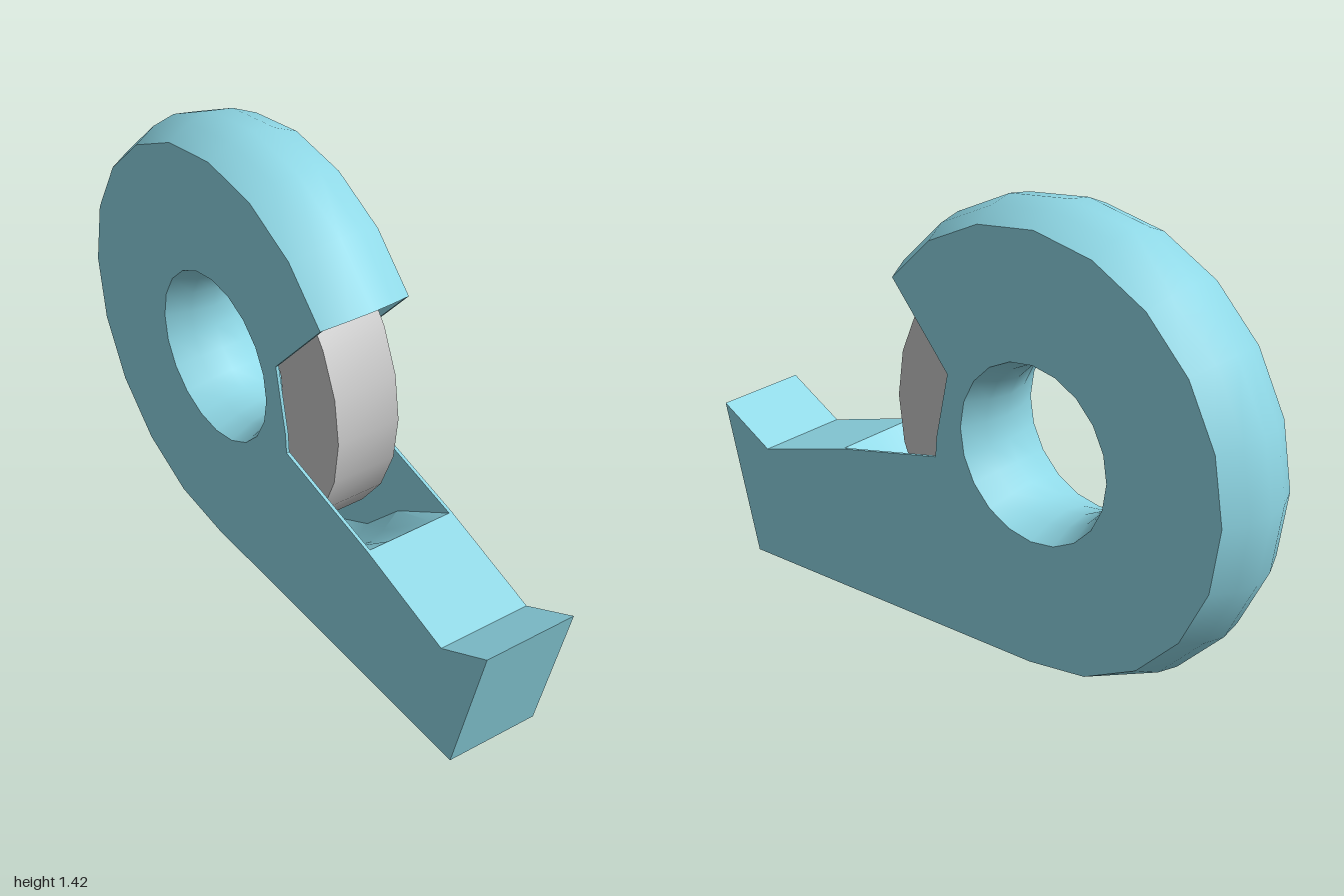
import * as THREE from 'three';
import { toCreasedNormals } from 'three/addons/utils/BufferGeometryUtils.js';

const CX = -0.29, CY = 0.71;   // axis of the tape roll
const EDGE = 0.66, HALF = 0.15, WALL = 0.01;
const STEP = Math.PI / 10;     // 20 sides around

const polar = (r, k) => [CX + r * Math.cos(k * STEP), CY + r * Math.sin(k * STEP)];

// Closed band: each station is a row of points across the width
function loopBand(stations) {
  const pos = stations.flat(2), idx = [];
  const n = stations.length, m = stations[0].length;
  for (let i = 0; i < n; i++) {
    for (let j = 0; j < m - 1; j++) {
      const a = i * m + j, b = ((i + 1) % n) * m + j;
      idx.push(a, b, a + 1, b, b + 1, a + 1);
    }
  }
  const geo = new THREE.BufferGeometry();
  geo.setAttribute('position', new THREE.Float32BufferAttribute(pos, 3));
  geo.setIndex(idx);
  return toCreasedNormals(geo, 0.5);
}

export function createModel() {
  const group = new THREE.Group();
  const plastic = new THREE.MeshStandardMaterial({ color: 0x8fd8e6, side: THREE.DoubleSide });
  const grey = new THREE.MeshStandardMaterial({ color: 0xcccccc });
  const add = (name, geo, mat) => {
    const mesh = new THREE.Mesh(geo, mat);
    mesh.name = name;
    group.add(mesh);
    return mesh;
  };

  // Nose with the raised cutter edge, shared by walls and band
  const nose = [[0.87, 0], [1, 0.475], [0.81, 0.375], [0.47, 0.485]];

  // Thin side walls with a round hole and a notch for the tape
  const outline = [];
  for (let k = 2; k <= 15; k++) outline.push(polar(EDGE, k));
  outline.push(...nose, [0.08, 0.585], [0.075, 0.65], [0.03, 0.86]);
  const wallShape = new THREE.Shape(outline.map(p => new THREE.Vector2(...p)));
  const hole = [];
  for (let k = 0; k < 20; k++) hole.push(new THREE.Vector2(...polar(0.27, -k)));
  wallShape.holes.push(new THREE.Path(hole));
  const wallGeo = new THREE.ExtrudeGeometry(wallShape, { depth: WALL, bevelEnabled: false });
  add('frontWall', wallGeo, plastic).position.z = HALF - WALL;
  add('backWall', wallGeo, plastic).position.z = -HALF;

  // Crowned rim, base, nose and inner lining as one closed band
  const crown = [[-0.15, 0], [-0.075, 0.036], [0, 0.05], [0.075, 0.036], [0.15, 0]];
  const arcRow = (k, bulge, inset, width) =>
    crown.map(([z, h]) => [...polar(EDGE + h * bulge - inset, k), z * width]);
  const rows = [];
  for (let k = 2; k <= 15; k++) rows.push(arcRow(k, k === 14 ? 0.3 : 1, 0, 1));
  for (const p of nose) rows.push(crown.map(([z]) => [...p, z]));
  for (let k = 18; k >= 2; k--) rows.push(arcRow(k, k === 14 ? 0.3 : 1, 0.02, 0.96));
  add('rimAndBase', loopBand(rows), plastic);

  // Hub tunnel, narrowest in the middle
  const hubProfile = [[0.27, -0.15], [0.24, -0.075], [0.227, 0], [0.24, 0.075], [0.27, 0.15]];
  const hubGeo = new THREE.LatheGeometry(hubProfile.map(p => new THREE.Vector2(...p)), 20);
  const hub = add('hub', hubGeo, plastic);

  // Tape roll
  const rollProfile = [[0.29, -0.105], [0.56, -0.105], [0.56, 0.105], [0.29, 0.105], [0.29, -0.105]];
  const rollGeo = new THREE.LatheGeometry(rollProfile.map(p => new THREE.Vector2(...p)), 24);
  const roll = add('tapeRoll', toCreasedNormals(rollGeo, 0.5), grey);

  for (const part of [hub, roll]) {
    part.rotation.x = Math.PI / 2;
    part.position.set(CX, CY, 0);
  }
  return group;
}
